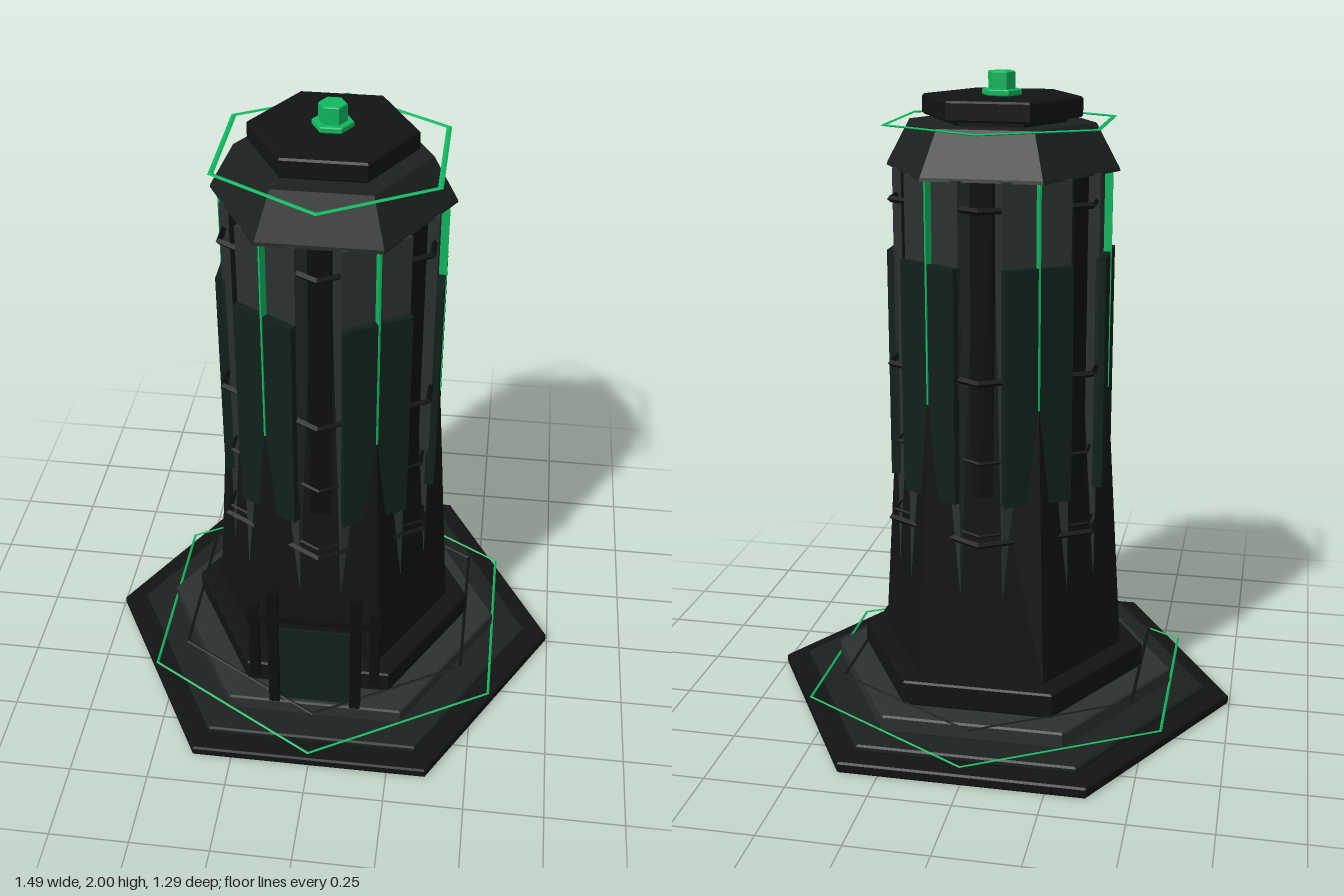
import * as THREE from 'three';

const paint = (color) => new THREE.MeshStandardMaterial({ color, flatShading: true });

export function createModel() {
  const model = new THREE.Group();
  const dark = paint(0x111413), black = paint(0x0c0f0e), mid = paint(0x1c2120);
  const light = paint(0x2a3130), tinted = paint(0x10201b), green = paint(0x10b860);

  function add(name, geometry, material, x = 0, y = 0, z = 0, parent = model) {
    const mesh = new THREE.Mesh(geometry, material);
    mesh.name = name;
    mesh.position.set(x, y, z);
    parent.add(mesh);
    return mesh;
  }

  // Six-sided solid with corners on the x axis, from [radius, height] pairs
  function hex(name, profile, material) {
    const points = profile.map(([r, y]) => new THREE.Vector2(r, y));
    return add(name, new THREE.LatheGeometry(points, 6, Math.PI / 6), material);
  }

  // Six-sided slab with a small bevel
  function slab(name, r, y0, y1, material, b = 0.006) {
    return hex(name, [[0, y0], [r - b, y0], [r, y0 + b], [r, y1 - b], [r - b, y1], [0, y1]], material);
  }

  // Six-sided band with corners on the z axis
  function band(name, r, y, width, height, material) {
    const geometry = new THREE.TorusGeometry(r, width, 4, 6);
    geometry.rotateZ(Math.PI / 6).rotateX(Math.PI / 2).scale(1, height / width, 1);
    return add(name, geometry, material, 0, y, 0);
  }

  // Stepped base
  slab('baseSlab', 0.745, 0, 0.035, dark);
  slab('baseStep', 0.665, 0.035, 0.058, mid);
  slab('plinth', 0.555, 0.055, 0.11, light);
  slab('towerFoot', 0.462, 0.11, 0.19, dark);
  band('baseLightBand', 0.642, 0.061, 0.005, 0.003, green);
  band('plinthBand', 0.53, 0.118, 0.006, 0.003, dark);

  // Tapering core whose corners emerge through the lower facets
  hex('core', [[0, 0.18], [0.39, 0.18], [0.291, 1.73], [0, 1.73]], dark);

  for (let i = 0; i < 6; i++) {
    // Broad facet, dark cladding and light strip at each corner
    const corner = new THREE.Group();
    corner.name = 'cornerFacet';
    corner.rotation.y = Math.PI / 6 + i * Math.PI / 3;
    model.add(corner);
    add('facet', new THREE.BoxGeometry(0.21, 1.53, 0.1), light, 0, 0.955, 0.262, corner);
    add('cladding', new THREE.BoxGeometry(0.21, 0.715, 0.03), tinted, 0, 1.115, 0.318, corner);
    add('lightStrip', new THREE.BoxGeometry(0.006, 0.67, 0.03), green, 0, 1.385, 0.321, corner);

    // Slim pillar in the groove between two facets
    const groove = new THREE.Group();
    groove.name = 'groove';
    groove.rotation.y = i * Math.PI / 3;
    model.add(groove);
    add('pillar', new THREE.BoxGeometry(0.065, 1.53, 0.1), black, 0, 0.955, 0.255, groove);
  }

  // Bands round the tower, showing in the grooves
  for (const [r, y, t] of [[0.362, 0.64, 0.01], [0.35, 0.665, 0.005], [0.338, 0.89, 0.006],
    [0.356, 1.14, 0.01], [0.347, 1.64, 0.01]]) band('towerBand', r, y, t, t, black);

  // Sloping roof and cap
  hex('roof', [[0, 1.715], [0.357, 1.715], [0.354, 1.725], [0.283, 1.855], [0, 1.855]], mid);
  slab('capNeck', 0.195, 1.85, 1.88, black, 0.003);
  slab('cap', 0.243, 1.87, 1.93, dark);
  band('roofLightBand', 0.362, 1.855, 0.009, 0.003, green);

  // Beacon
  slab('beaconBase', 0.06, 1.93, 1.948, green, 0.003);
  slab('beacon', 0.041, 1.945, 2, green, 0.003);

  // Gate at the front
  const gate = new THREE.Group();
  gate.name = 'gate';
  model.add(gate);
  for (const side of [-1, 1]) {
    add('tallPost', new THREE.BoxGeometry(0.033, 0.48, 0.033), black, side * 0.13, 0.35, 0.468, gate);
    add('shortPost', new THREE.BoxGeometry(0.03, 0.31, 0.03), black, side * 0.19, 0.375, 0.468, gate);
  }
  add('crossbar', new THREE.BoxGeometry(0.425, 0.025, 0.033), black, 0, 0.48, 0.468, gate);
  add('gatePanel', new THREE.BoxGeometry(0.25, 0.31, 0.01), tinted, 0, 0.265, 0.46, gate);

  return model;
}
